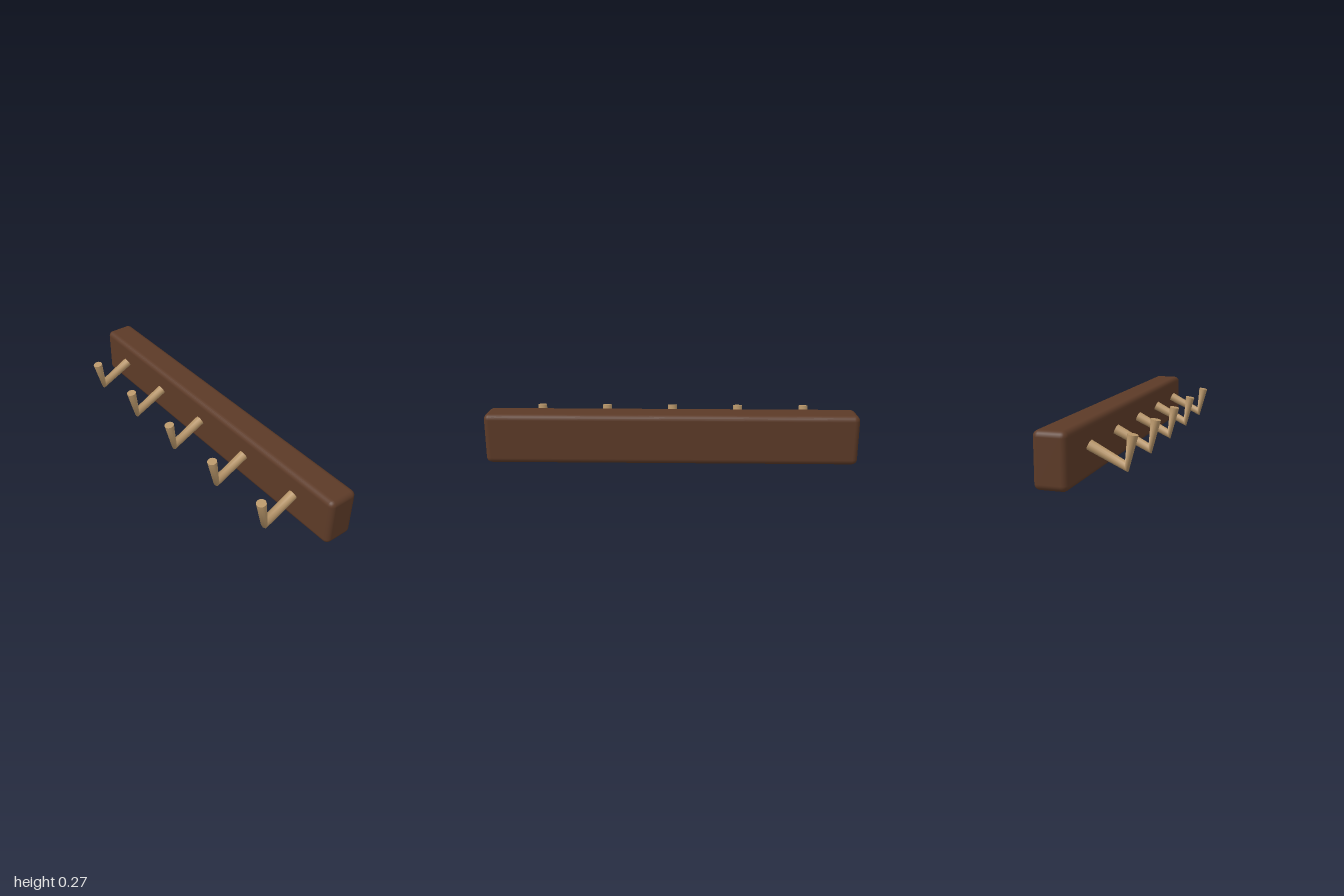
import * as THREE from 'three';
import { RoundedBoxGeometry } from 'three/addons/geometries/RoundedBoxGeometry.js';

const HOOK_RADIUS = 0.026;

// Hook sections from wall to tip: centre (y, z) and the direction each one faces
const SECTIONS = [
  { y: 0.167, z: -0.03, dir: [-0.41, 0.912] },
  { y: 0.077, z: 0.151, dir: [0.235, 0.972] },
  { y: 0.2275, z: 0.18, dir: [0.985, 0.174] },
];

// Bends a capped cylinder so that its three rings lie on the sections
function hookGeometry() {
  const geometry = new THREE.CylinderGeometry(HOOK_RADIUS, HOOK_RADIUS, 2, 16, 2);
  const pos = geometry.attributes.position;
  for (let i = 0; i < pos.count; i++) {
    const { y, z, dir } = SECTIONS[Math.round(pos.getY(i)) + 1];
    const offset = pos.getZ(i);
    pos.setXYZ(i, pos.getX(i), y - dir[1] * offset, z + dir[0] * offset);
  }
  geometry.computeVertexNormals();
  return geometry;
}

export function createModel() {
  const darkWood = new THREE.MeshStandardMaterial({ color: 0x5c3a27 });
  darkWood.name = 'dark wood';
  const brass = new THREE.MeshStandardMaterial({ color: 0xb8966a });
  brass.name = 'pale brass';

  const model = new THREE.Group();
  model.name = 'coatRack';

  // Wall board with softened edges
  const board = new THREE.Mesh(new RoundedBoxGeometry(2, 0.272, 0.166, 3, 0.03), darkWood);
  board.name = 'board';
  board.position.set(0, 0.136, -0.123);
  model.add(board);

  // Five evenly spaced hooks
  const geometry = hookGeometry();
  for (let i = -2; i <= 2; i++) {
    const hook = new THREE.Mesh(geometry, brass);
    hook.name = 'hook';
    hook.position.x = i * 0.378;
    model.add(hook);
  }
  return model;
}
